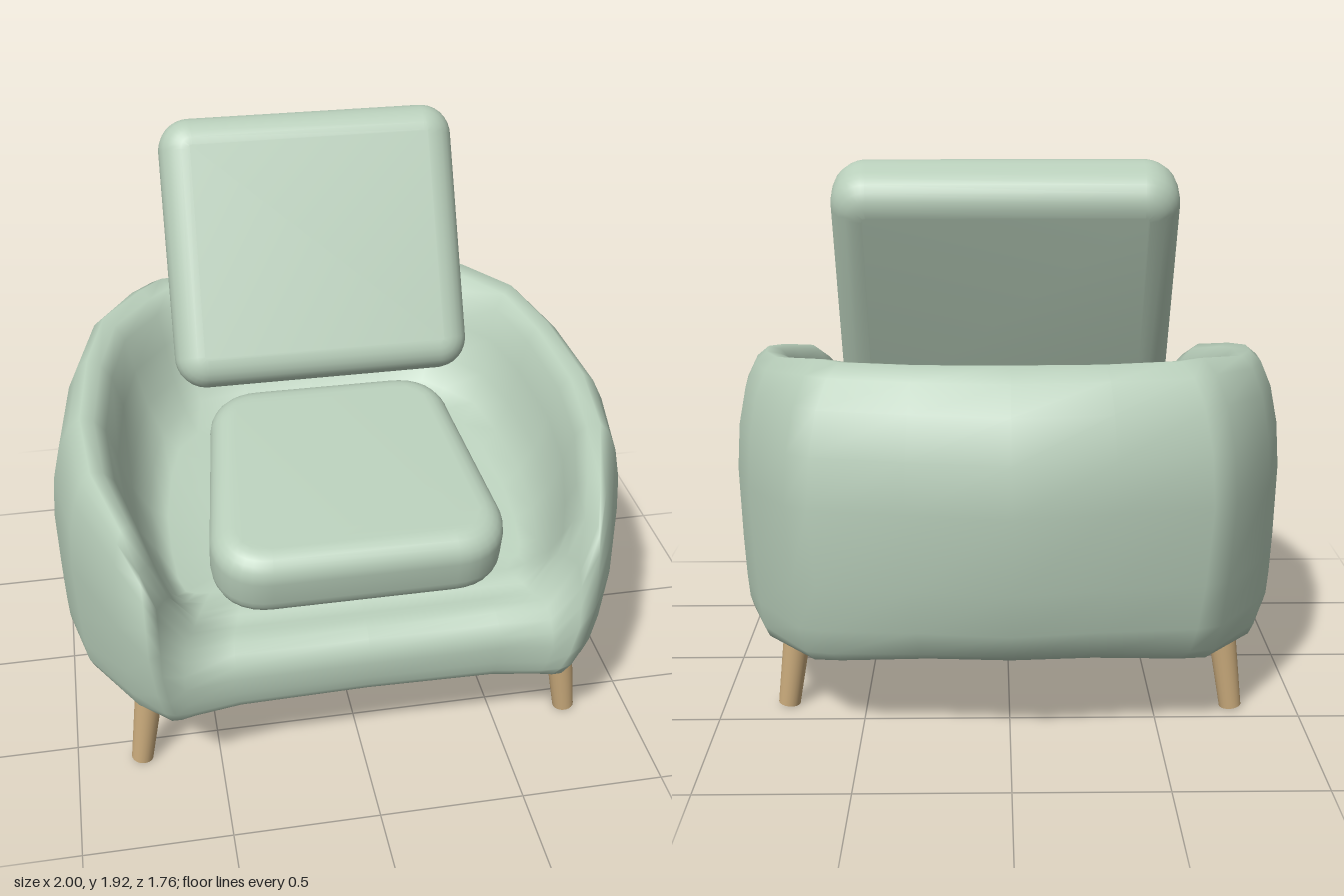
import * as THREE from 'three';
import { toCreasedNormals } from 'three/addons/utils/BufferGeometryUtils.js';

const fabric = new THREE.MeshStandardMaterial({ color: 0xb8ceba });
fabric.name = 'sage fabric';
const wood = new THREE.MeshStandardMaterial({ color: 0xcaab7c });
wood.name = 'light wood';

const lerp = THREE.MathUtils.lerp;

// Stations from back centre round the left arm to front centre:
// outer x,z | rim height | crest x,z | inner foot x,z | foot height | base height | base taper
const stations = [
  [0, -0.88, 1.285, 0, -0.64, 0, -0.30, 0.84, 0.31, 0.18],
  [0.33, -0.82, 1.285, 0.30, -0.63, 0.24, -0.30, 0.84, 0.305, 0.16],
  [0.64, -0.76, 1.288, 0.54, -0.60, 0.40, -0.27, 0.835, 0.295, 0.13],
  [0.72, -0.70, 1.283, 0.62, -0.53, 0.46, -0.22, 0.825, 0.285, 0.10],
  [0.87, -0.45, 1.255, 0.77, -0.38, 0.54, -0.13, 0.81, 0.28, 0.05],
  [0.95, -0.18, 1.22, 0.84, -0.14, 0.58, 0, 0.78, 0.29, 0.03],
  [1.0, 0.17, 1.17, 0.88, 0.17, 0.61, 0.18, 0.735, 0.305, 0.02],
  [0.95, 0.45, 1.12, 0.86, 0.43, 0.61, 0.35, 0.70, 0.32, 0.04],
  [0.82, 0.75, 1.06, 0.78, 0.68, 0.60, 0.46, 0.675, 0.33, 0.10],
  [0.73, 0.88, 0.985, 0.735, 0.81, 0.58, 0.51, 0.66, 0.335, 0.15],
  [0.69, 0.865, 0.82, 0.69, 0.79, 0.55, 0.52, 0.655, 0.335, 0.13],
  [0.62, 0.825, 0.63, 0.60, 0.73, 0.50, 0.52, 0.65, 0.34, 0.08],
  [0.45, 0.79, 0.605, 0.44, 0.69, 0.38, 0.52, 0.65, 0.345, 0.05],
  [0, 0.79, 0.605, 0, 0.69, 0, 0.52, 0.65, 0.35, 0.05],
];

// [height fraction, share of the taper] below the bulge, [height, move to crest] above it
const lower = [[0, 1], [0.04, 0.65], [0.13, 0.42], [0.29, 0.2], [0.56, 0]];
const upper = [[0.73, 0.1], [0.87, 0.33], [0.96, 0.65], [1, 1]];
// [drop fraction, move from crest to foot] down the inner wall
const inner = [[0.03, 0.17], [0.13, 0.31], [0.38, 0.43], [0.66, 0.57], [0.88, 0.77], [1, 1]];

// Cross-section of the shell at one station, from under the base over the rim to the seat
function section([x, z, top, cx, cz, fx, fz, footY, base, taper]) {
  const r = Math.hypot(x, z);
  const pts = [[0, 0.305, 0]];
  const k0 = 1 - taper / r;
  for (const s of [0.5, 0.95]) pts.push([x * k0 * s, lerp(0.305, base, s), z * k0 * s]);
  for (const [h, t] of lower) {
    const k = 1 - (taper * t) / r;
    pts.push([x * k, lerp(base, top, h), z * k]);
  }
  for (const [h, t] of upper) pts.push([lerp(x, cx, t), lerp(base, top, h), lerp(z, cz, t)]);
  for (const [h, t] of inner) pts.push([lerp(cx, fx, t), lerp(top, footY, h), lerp(cz, fz, t)]);
  for (const t of [0.4, 1]) pts.push([lerp(fx, 0, t), lerp(footY, 0.73, t), lerp(fz, 0.2, t)]);
  return pts;
}

function shellGeometry() {
  const half = stations.map(section);
  const mirrored = half.slice(1, -1).reverse().map((s) => s.map(([x, y, z]) => [-x, y, z]));
  const loop = [...half, ...mirrored];
  const n = loop.length, m = loop[0].length, index = [];
  for (let i = 0; i < n; i++) {
    for (let j = 0; j < m - 1; j++) {
      const a = i * m + j, b = ((i + 1) % n) * m + j;
      index.push(a, a + 1, b, b, a + 1, b + 1);
    }
  }
  const g = new THREE.BufferGeometry();
  g.setAttribute('position', new THREE.Float32BufferAttribute(loop.flat(2), 3));
  g.setIndex(index);
  g.computeVertexNormals();
  return g;
}

// Soft slab facing +z: trapezoid outline with rounded corners and a rounded edge
function cushion(name, bottomWidth, topWidth, height, depth, corner, edge) {
  const a = bottomWidth / 2 - edge, b = topWidth / 2 - edge, h = height / 2 - edge;
  const c = corner - edge;
  const s = new THREE.Shape();
  s.moveTo(-a + c, -h);
  s.lineTo(a - c, -h);
  s.quadraticCurveTo(a, -h, a, -h + c);
  s.lineTo(b, h - c);
  s.quadraticCurveTo(b, h, b - c, h);
  s.lineTo(-b + c, h);
  s.quadraticCurveTo(-b, h, -b, h - c);
  s.lineTo(-a, -h + c);
  s.quadraticCurveTo(-a, -h, -a + c, -h);
  const g = new THREE.ExtrudeGeometry(s, {
    depth: depth - 2 * edge, bevelThickness: edge, bevelSize: edge, bevelSegments: 6, curveSegments: 8,
  });
  g.translate(0, 0, edge - depth / 2);
  const mesh = new THREE.Mesh(toCreasedNormals(g, 0.7), fabric);
  mesh.name = name;
  return mesh;
}

// Tapered leg between a top and a bottom point
function leg(name, side, z) {
  const top = new THREE.Vector3(side * 0.722, 0.38, z);
  const foot = new THREE.Vector3(side * 0.775, 0.006, z);
  const dir = top.clone().sub(foot);
  const mesh = new THREE.Mesh(new THREE.CylinderGeometry(0.051, 0.038, dir.length(), 20), wood);
  mesh.position.copy(top).add(foot).multiplyScalar(0.5);
  mesh.quaternion.setFromUnitVectors(new THREE.Vector3(0, 1, 0), dir.normalize());
  mesh.name = name;
  return mesh;
}

export function createModel() {
  const chair = new THREE.Group();
  chair.name = 'armchair';

  const shell = new THREE.Mesh(shellGeometry(), fabric);
  shell.name = 'shell';
  chair.add(shell);

  // Seat cushion lies flat, narrow end rising towards the back
  const seat = cushion('seatCushion', 0.99, 0.87, 0.88, 0.26, 0.19, 0.085);
  seat.position.set(0, 0.86, 0.285);
  seat.rotation.x = 0.208 - Math.PI / 2;
  chair.add(seat);

  // Back cushion leans backwards
  const back = cushion('backCushion', 1.08, 1.07, 0.968, 0.245, 0.115, 0.1);
  back.position.set(0.015, 1.4625, -0.418);
  back.rotation.x = -0.46;
  chair.add(back);

  chair.add(
    leg('frontLegLeft', 1, 0.585), leg('frontLegRight', -1, 0.585),
    leg('backLegLeft', 1, -0.378), leg('backLegRight', -1, -0.415),
  );
  return chair;
}
